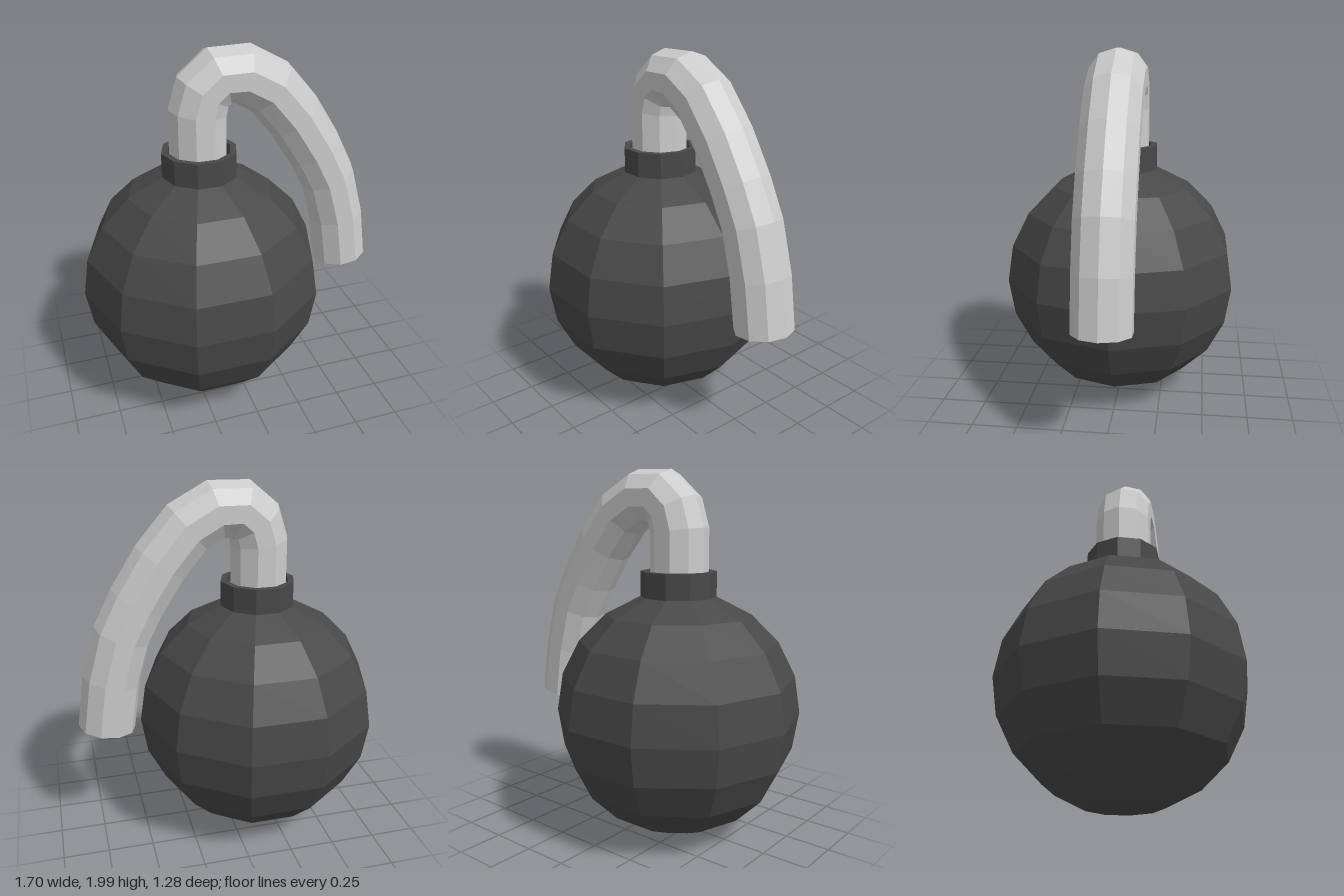
import * as THREE from 'three';

const SIDES = 10;
const AXIS_X = -0.175;

const material = (color) => new THREE.MeshStandardMaterial({ color, flatShading: true });

function addPart(group, name, geometry, mat) {
  const mesh = new THREE.Mesh(geometry, mat);
  mesh.name = name;
  group.add(mesh);
  return mesh;
}

// Ten-sided hose following a path in the xy plane, with mitred bends and a shallow pointed end cap
function hoseGeometry(path, radius, endTangent, capHeight) {
  const pts = path.map(([x, y]) => new THREE.Vector2(x, y));
  const last = pts.length - 1;
  const dir = (i) => pts[i + 1].clone().sub(pts[i]).normalize();
  const position = [];
  const index = [];
  pts.forEach((p, i) => {
    const t = i === 0 ? dir(0) : i === last ? endTangent : dir(i - 1).add(dir(i)).normalize();
    for (let j = 0; j < SIDES; j++) {
      const a = (j / SIDES) * Math.PI * 2;
      const out = radius * Math.cos(a);
      position.push(p.x - t.y * out, p.y + t.x * out, radius * Math.sin(a));
    }
  });
  for (let j = 0; j < SIDES; j++) {
    const k = (j + 1) % SIDES;
    for (let i = 0; i < last; i++) {
      const r = i * SIDES;
      const s = r + SIDES;
      index.push(r + j, r + k, s + k, r + j, s + k, s + j);
    }
    index.push(pts.length * SIDES, last * SIDES + j, last * SIDES + k);
  }
  const tip = pts[last].clone().addScaledVector(endTangent, capHeight);
  position.push(tip.x, tip.y, 0);
  const geometry = new THREE.BufferGeometry();
  geometry.setAttribute('position', new THREE.Float32BufferAttribute(position, 3));
  geometry.setIndex(index);
  geometry.computeVertexNormals();
  return geometry;
}

export function createModel() {
  const group = new THREE.Group();
  group.name = 'roundBomb';
  const dark = material(0x484848);
  const grey = material(0xcccccc);

  // Round body
  const body = addPart(group, 'body', new THREE.SphereGeometry(0.675, SIDES, 10), dark);
  body.position.set(AXIS_X, 0.68, 0);

  // Open collar holding the fuse
  const profile = [[0.206, 1.31], [0.206, 1.46], [0.172, 1.46], [0.172, 1.31]]
    .map(([x, y]) => new THREE.Vector2(x, y));
  const collar = addPart(group, 'collar', new THREE.LatheGeometry(profile, SIDES, Math.PI / 2), dark);
  collar.position.x = AXIS_X;

  // Fuse rising from the collar and drooping over the left side
  const path = [
    [-0.18, 1.32], [-0.18, 1.67], [-0.15, 1.775], [-0.07, 1.845], [0.062, 1.845], [0.209, 1.763],
    [0.355, 1.59], [0.485, 1.385], [0.577, 1.205], [0.648, 0.955], [0.69, 0.67],
  ];
  const endTangent = new THREE.Vector2(0.128, -0.992).normalize();
  addPart(group, 'fuse', hoseGeometry(path, 0.158, endTangent, 0.035), grey);

  return group;
}
